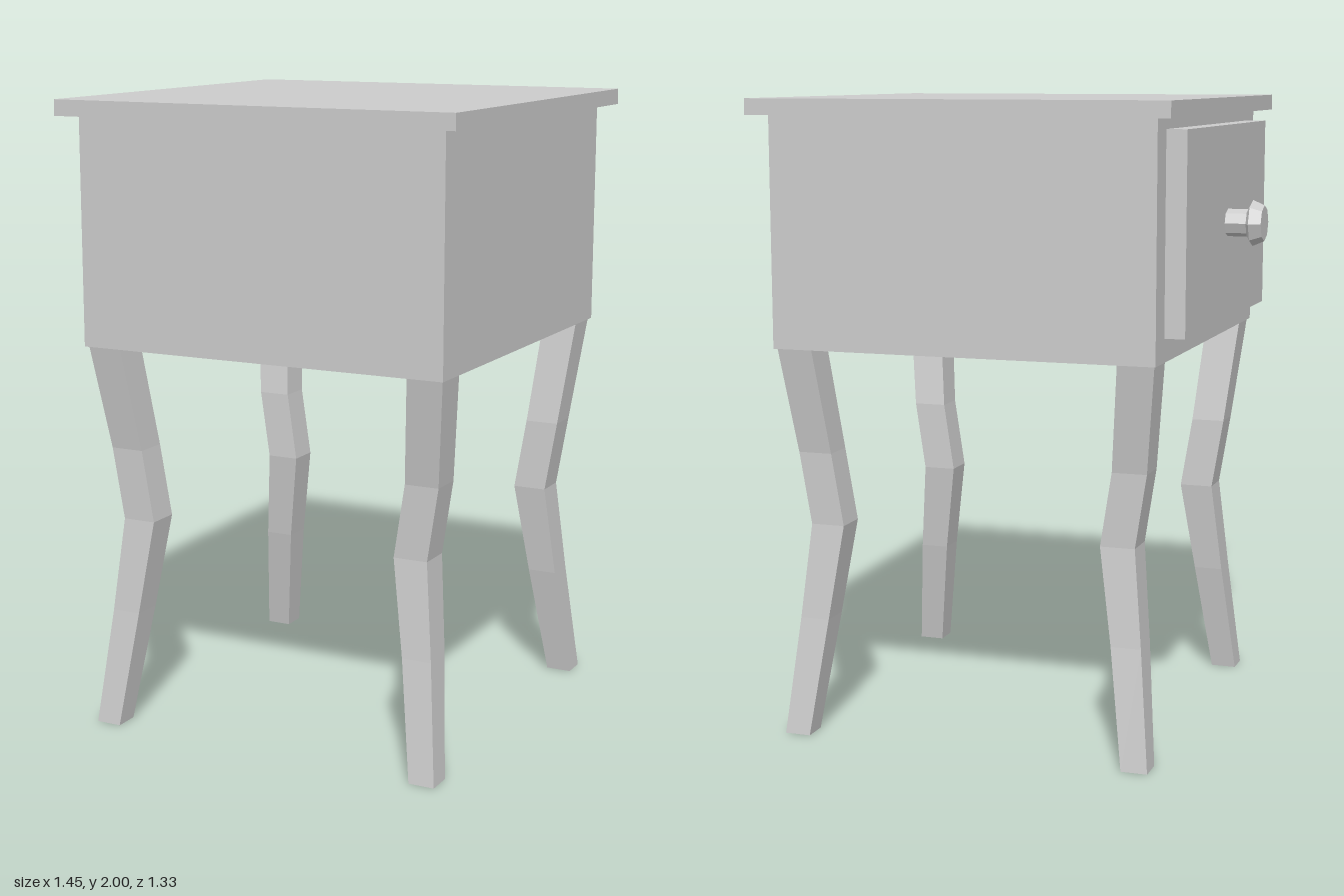
import * as THREE from 'three';

const CX = 0.061; // the cabinet sits slightly off centre to balance the knob

export function createModel() {
  const group = new THREE.Group();
  const material = new THREE.MeshStandardMaterial({ color: 0xcccccc, flatShading: true });

  const add = (name, geometry) => {
    const mesh = new THREE.Mesh(geometry, material);
    mesh.name = name;
    group.add(mesh);
    return mesh;
  };

  // Box given by its limits along x, y and z
  const addBox = (name, [x0, x1], [y0, y1], [z0, z1]) =>
    add(name, new THREE.BoxGeometry(x1 - x0, y1 - y0, z1 - z0))
      .position.set((x0 + x1) / 2, (y0 + y1) / 2, (z0 + z1) / 2);

  addBox('tabletop', [-0.603, 0.725], [1.95, 2], [-0.665, 0.665]);
  addBox('cabinet', [-0.55, 0.672], [1.235, 1.95], [-0.612, 0.612]);
  addBox('drawerFront', [-0.613, -0.55], [1.307, 1.916], [-0.518, 0.518]);

  // Knob: eight-sided stem and flared head, pointing out to -x
  const profile = [[0.043, 0], [0.043, 0.068], [0.05, 0.068], [0.072, 0.08], [0.056, 0.117], [0, 0.117]]
    .map(([r, h]) => new THREE.Vector2(r, h));
  const knob = add('drawerKnob', new THREE.LatheGeometry(profile, 8));
  knob.rotation.z = Math.PI / 2;
  knob.position.set(-0.613, 1.612, -0.003);

  // Leg sections, foot to top: height, inner and outer x, inner and outer z
  const sections = [
    [0, 0.514, 0.597, 0.532, 0.613],
    [0.37, 0.465, 0.56, 0.461, 0.561],
    [0.67, 0.421, 0.53, 0.422, 0.531],
    [0.9, 0.458, 0.567, 0.428, 0.536],
    [1.235, 0.49, 0.604, 0.482, 0.598],
  ];

  // Segmented box whose rings are moved onto the leg sections
  const legGeometry = (sx, sz) => {
    const geometry = new THREE.BoxGeometry(1, 1, 1, 1, sections.length - 1, 1);
    const p = geometry.attributes.position;
    for (let i = 0; i < p.count; i++) {
      const ring = Math.round((p.getY(i) + 0.5) * (sections.length - 1));
      const [y, xIn, xOut, zIn, zOut] = sections[ring];
      const x = p.getX(i) * sx > 0 ? xOut : xIn;
      const z = p.getZ(i) * sz > 0 ? zOut : zIn;
      p.setXYZ(i, CX + sx * x, y, sz * z);
    }
    geometry.computeVertexNormals();
    return geometry;
  };

  for (const [sx, side] of [[1, 'Left'], [-1, 'Right']])
    for (const [sz, end] of [[1, 'front'], [-1, 'back']])
      add(`${end}${side}Leg`, legGeometry(sx, sz));

  return group;
}
